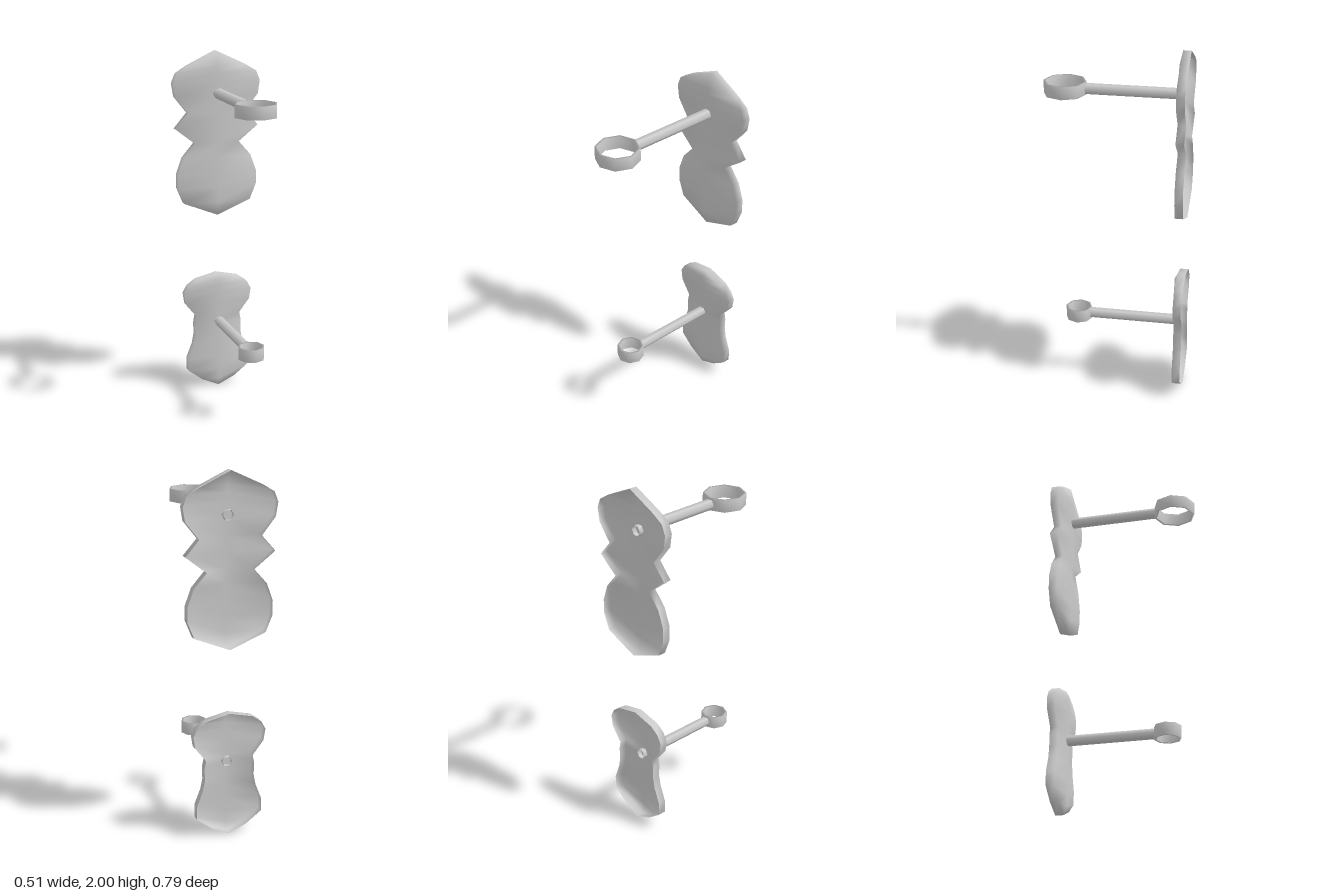
import * as THREE from 'three';
import { mergeVertices } from 'three/addons/utils/BufferGeometryUtils.js';

const BACK = -0.395, EDGE = -0.35, RIDGE = -0.333;

const material = new THREE.MeshStandardMaterial({ color: 0xcccccc, side: THREE.DoubleSide });

// half outlines from top to bottom: [half width, height]
const largeOutline = [
  [0, 2], [0.17, 1.92], [0.235, 1.88], [0.257, 1.825], [0.245, 1.75], [0.17, 1.655], [0.245, 1.57],
  [0.13, 1.48], [0.2, 1.4], [0.235, 1.305], [0.235, 1.225], [0.198, 1.135], [0, 1.055],
];
const smallOutline = [
  [0, 0.7], [0.13, 0.67], [0.18, 0.635], [0.205, 0.59], [0.195, 0.525], [0.133, 0.445], [0.142, 0.4],
  [0.14, 0.33], [0.152, 0.27], [0.185, 0.185], [0.185, 0.11], [0.1, 0.045], [0, 0],
];

// hollow shell, open at the back: rim wall, gently ridged front, rim wall
function plateGeometry(outline) {
  const positions = [], index = [];
  outline.forEach(([w, y], row) => {
    const ridge = w === 0 ? EDGE : RIDGE;
    positions.push(-w, y, BACK, -w, y, EDGE, 0, y, ridge, w, y, EDGE, w, y, BACK);
    if (row === 0) return;
    for (let col = 0; col < 4; col++) {
      const a = (row - 1) * 5 + col, b = a + 1, c = a + 5, d = c + 1;
      index.push(a, c, b, b, c, d);
    }
  });
  let geometry = new THREE.BufferGeometry();
  geometry.setAttribute('position', new THREE.Float32BufferAttribute(positions, 3));
  geometry.setIndex(index);
  // weld the pointed tips and drop the triangles that collapse there
  geometry = mergeVertices(geometry);
  const welded = Array.from(geometry.index.array), kept = [];
  for (let i = 0; i < welded.length; i += 3) {
    const [a, b, c] = welded.slice(i, i + 3);
    if (a !== b && b !== c && a !== c) kept.push(a, b, c);
  }
  geometry.setIndex(kept);
  geometry.computeVertexNormals();
  return geometry;
}

function part(name, geometry) {
  const mesh = new THREE.Mesh(geometry, material);
  mesh.name = name;
  return mesh;
}

function sconce(name, outline, { armY, armRadius, ringY, ringZ, ringRadius }) {
  const group = new THREE.Group();
  group.name = name;
  group.add(part('wallPlate', plateGeometry(outline)));

  // six-sided hollow arm, poking slightly through the plate
  const armBack = -0.36, armFront = ringZ - ringRadius + 0.006;
  const armGeometry = new THREE.CylinderGeometry(armRadius, armRadius, armFront - armBack, 6, 1, true);
  armGeometry.rotateX(Math.PI / 2);
  const arm = part('arm', armGeometry.rotateZ(Math.PI / 2));
  arm.position.set(0, armY, (armBack + armFront) / 2);
  group.add(arm);

  // eight-sided holder ring
  const inner = ringRadius - 0.0125, h = 0.035;
  const profile = [[inner, -h], [ringRadius, -h], [ringRadius, h], [inner, h], [inner, -h]]
    .map(([r, y]) => new THREE.Vector2(r, y));
  const ring = part('holderRing', new THREE.LatheGeometry(profile, 8));
  ring.position.set(0, ringY, ringZ);
  group.add(ring);
  return group;
}

export function createModel() {
  const model = new THREE.Group();
  model.name = 'wallSconces';
  model.add(
    sconce('largeSconce', largeOutline, { armY: 1.764, armRadius: 0.03, ringY: 1.766, ringZ: 0.274, ringRadius: 0.117 }),
    sconce('smallSconce', smallOutline, { armY: 0.411, armRadius: 0.029, ringY: 0.411, ringZ: 0.215, ringRadius: 0.075 }),
  );
  return model;
}
